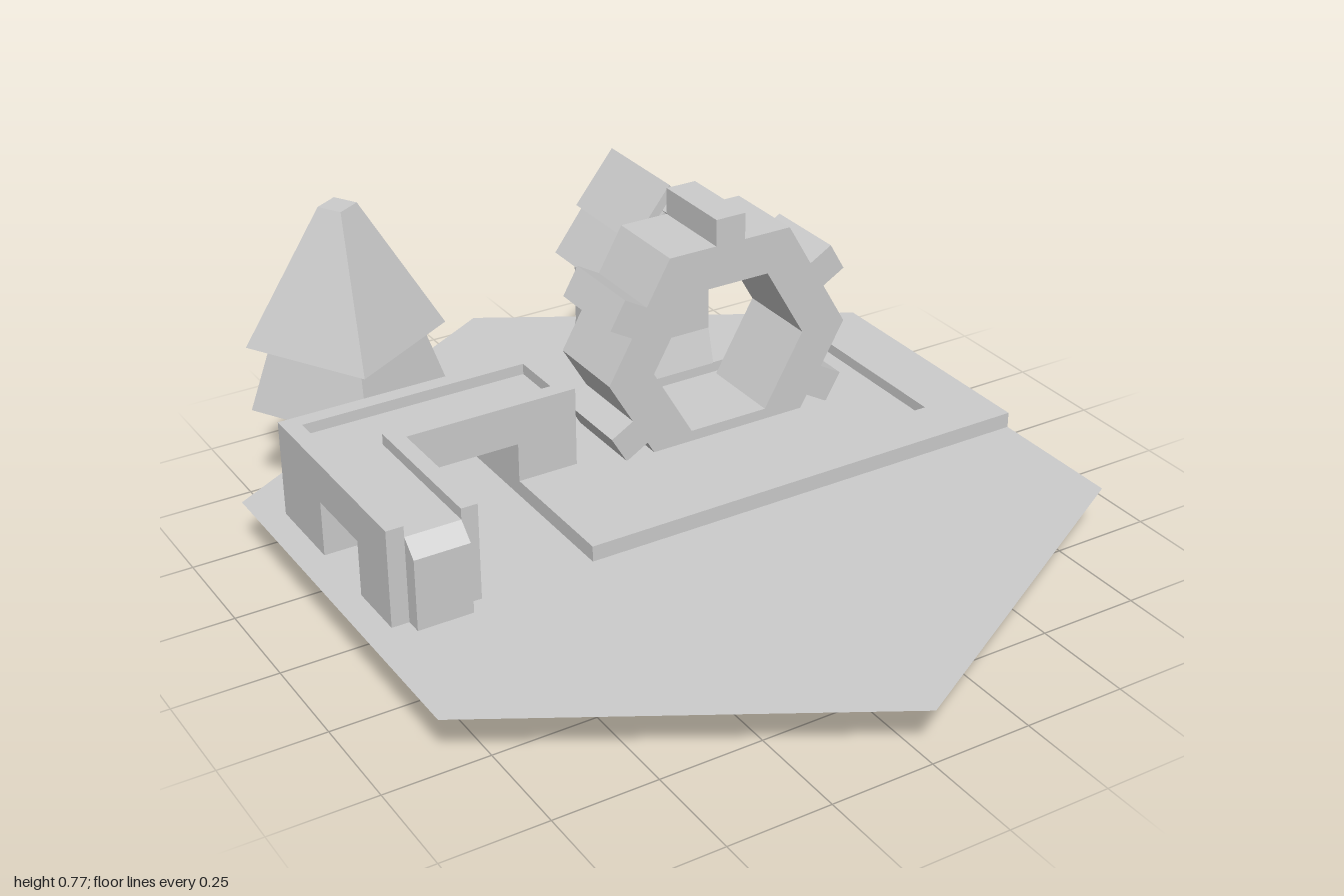
import * as THREE from 'three';

const GROUND = 0.133, SLAB = 0.172, POOL = 0.145;

const material = new THREE.MeshStandardMaterial({ color: 0xcccccc, flatShading: true, side: THREE.DoubleSide });

function add(parent, name, geometry) {
  const mesh = new THREE.Mesh(geometry, material);
  mesh.name = name;
  parent.add(mesh);
  return mesh;
}

// Plan outlines are given as [x, z]
const planShape = (pts, hole) => {
  const path = (p) => p.map(([x, z]) => new THREE.Vector2(x, -z));
  const shape = new THREE.Shape(path(pts));
  if (hole) shape.holes.push(new THREE.Path(path(hole)));
  return shape;
};
const sheet = (pts, y, hole) =>
  new THREE.ShapeGeometry(planShape(pts, hole)).rotateX(-Math.PI / 2).translate(0, y, 0);
const block = (pts, y0, y1) =>
  new THREE.ExtrudeGeometry(planShape(pts), { depth: y1 - y0, bevelEnabled: false })
    .rotateX(-Math.PI / 2).translate(0, y0, 0);
const rect = (x0, x1, z0, z1) => [[x0, z0], [x0, z1], [x1, z1], [x1, z0]];

// Upright strip following a closed outline
function walls(pts, y0, y1) {
  const pos = [];
  pts.forEach(([ax, az], i) => {
    const [bx, bz] = pts[(i + 1) % pts.length];
    pos.push(ax, y0, az, bx, y0, bz, bx, y1, bz, ax, y0, az, bx, y1, bz, ax, y1, az);
  });
  const g = new THREE.BufferGeometry();
  g.setAttribute('position', new THREE.Float32BufferAttribute(pos, 3));
  g.computeVertexNormals();
  return g;
}

// Profile [x, y] extruded between two z values
const profile = (pts, z0, z1) =>
  new THREE.ExtrudeGeometry(new THREE.Shape(pts.map(([x, y]) => new THREE.Vector2(x, y))),
    { depth: z1 - z0, bevelEnabled: false }).translate(0, 0, z0);

function makeTerrain() {
  const g = new THREE.Group();
  g.name = 'terrain';
  // Hexagonal ground, cut away under the raised slab
  const spoutHole = rect(-0.755, -0.625, 0.15, 0.19);
  add(g, 'ground', sheet([[-0.866, -0.5], [-0.866, 0.5], [0, 1], [0.866, 0.5], [0.866, 0.15],
    [-0.305, 0.15], [-0.305, -0.824]], GROUND, spoutHole));
  // Raised slab, hollow below, with a sunken pool
  const slab = [[-0.305, -0.824], [-0.305, 0.15], [0.866, 0.15], [0.866, -0.5], [0, -1]];
  const pool = rect(-0.15, 0.71, -0.455, 0.02);
  add(g, 'slabTop', sheet(slab, SLAB, pool));
  add(g, 'slabSides', walls(slab, GROUND, SLAB));
  add(g, 'poolSides', walls(pool, POOL, SLAB));
  add(g, 'poolFloor', sheet(pool, POOL));
  return g;
}

function makeAqueduct() {
  const g = new THREE.Group();
  g.name = 'aqueduct';
  const outer = [[-0.8, -0.4], [-0.8, 0.153], [-0.584, 0.153], [-0.584, -0.188], [-0.152, -0.188], [-0.152, -0.4]];
  add(g, 'deck', block(outer, 0.27, 0.345));
  // Rim around the channel, open at the spout end
  add(g, 'rim', block([...outer.slice(2), outer[0], outer[1],
    [-0.758, 0.153], [-0.758, -0.36], [-0.195, -0.36], [-0.195, -0.228], [-0.624, -0.228], [-0.624, 0.153]],
  0.345, 0.372));
  add(g, 'cornerLeg', block(rect(-0.8, -0.584, -0.4, -0.188), GROUND, 0.27));
  add(g, 'frontLeg', block(rect(-0.8, -0.584, 0.003, 0.153), GROUND, 0.27));
  add(g, 'slabLeg', block(rect(-0.305, -0.152, -0.4, -0.188), SLAB, 0.27));
  // Falling water, open at the bottom
  const top = [[0.153, 0.345], [0.193, 0.308], [0.193, GROUND]];
  const fall = add(g, 'waterfall', new THREE.BufferGeometry());
  const pos = [];
  const quad = (a, b, c, d) => pos.push(...a, ...b, ...c, ...a, ...c, ...d);
  const L = -0.758, R = -0.624;
  for (let i = 0; i < 2; i++) {
    const [z0, y0] = top[i], [z1, y1] = top[i + 1];
    quad([L, y0, z0], [L, y1, z1], [R, y1, z1], [R, y0, z0]);
  }
  quad([R, GROUND, 0.193], [R, GROUND, 0.153], [R, 0.345, 0.153], [R, 0.308, 0.193]);
  quad([L, GROUND, 0.153], [L, GROUND, 0.193], [L, 0.308, 0.193], [L, 0.345, 0.153]);
  fall.geometry.setAttribute('position', new THREE.Float32BufferAttribute(pos, 3));
  fall.geometry.computeVertexNormals();
  return g;
}

function makeWheel() {
  const ring = (r) => Array.from({ length: 6 }, (_, i) =>
    new THREE.Vector2(r * Math.cos(i * Math.PI / 3), r * Math.sin(i * Math.PI / 3)));
  // Toothed outline: each hexagon side carries one paddle
  const apothem = 0.288, tip = 0.355, half = 0.04, outline = [];
  ring(apothem / Math.cos(Math.PI / 6)).forEach((corner, i) => {
    const a = (i + 0.5) * Math.PI / 3, c = Math.cos(a), s = Math.sin(a);
    outline.push(corner);
    for (const [r, t] of [[apothem, -half], [tip, -half], [tip, half], [apothem, half]])
      outline.push(new THREE.Vector2(r * c - t * s, r * s + t * c));
  });
  const shape = new THREE.Shape(outline);
  shape.holes.push(new THREE.Path(ring(0.211)));
  const g = new THREE.Group();
  g.name = 'waterWheel';
  add(g, 'wheelRim', new THREE.ExtrudeGeometry(shape, { depth: 0.22, bevelEnabled: false }));
  g.position.set(0.267, 0.355, -0.4);
  return g;
}

function makeHouse() {
  const g = new THREE.Group();
  g.name = 'millHouse';
  const w = 0.13;
  add(g, 'gableWalls', profile([[-w, 0.262], [w, 0.262], [w, 0.44], [0, 0.61], [-w, 0.44]], -0.695, -0.476));
  // Base flares towards front and back
  const base = profile([[-w, SLAB], [w, SLAB], [w, 0.262], [-w, 0.262]], -0.695, -0.476);
  const p = base.attributes.position;
  for (let i = 0; i < p.count; i++)
    if (p.getY(i) < 0.2) p.setZ(i, p.getZ(i) < -0.6 ? -0.722 : -0.452);
  base.computeVertexNormals();
  add(g, 'flaredBase', base);
  // Two overlapping roof layers, mirrored over the ridge
  const mirror = (pts) => [...pts, ...pts.slice(1, -1).reverse().map(([x, y]) => [-x, y])];
  add(g, 'upperRoof', profile(mirror([[0, 0.69], [0.105, 0.56], [0.087, 0.546], [0, 0.652]]
    .slice(0, 3).concat([[0, 0.652]])), -0.725, -0.452));
  for (const s of [1, -1])
    add(g, 'lowerRoof', profile([[0.05 * s, 0.602], [0.168 * s, 0.445], [0.149 * s, 0.43], [0.03 * s, 0.586]],
      -0.725, -0.452));
  g.position.x = 0.267;
  return g;
}

function makeTree() {
  const g = new THREE.Group();
  g.name = 'tree';
  const tier = (name, rTop, rBottom, y0, y1) =>
    add(g, name, new THREE.CylinderGeometry(rTop, rBottom, y1 - y0, 4).translate(0, (y0 + y1) / 2, 0));
  tier('trunk', 0.066, 0.066, GROUND, 0.27);
  tier('lowerBranches', 0.18, 0.236, 0.27, 0.435);
  tier('upperBranches', 0.045, 0.236, 0.435, 0.767);
  g.position.set(-0.532, 0, -0.602);
  g.rotation.y = -Math.PI / 12;
  return g;
}

export function createModel() {
  const model = new THREE.Group();
  model.name = 'waterMillTile';
  model.add(makeTerrain(), makeAqueduct(), makeWheel(), makeHouse(), makeTree());
  return model;
}
